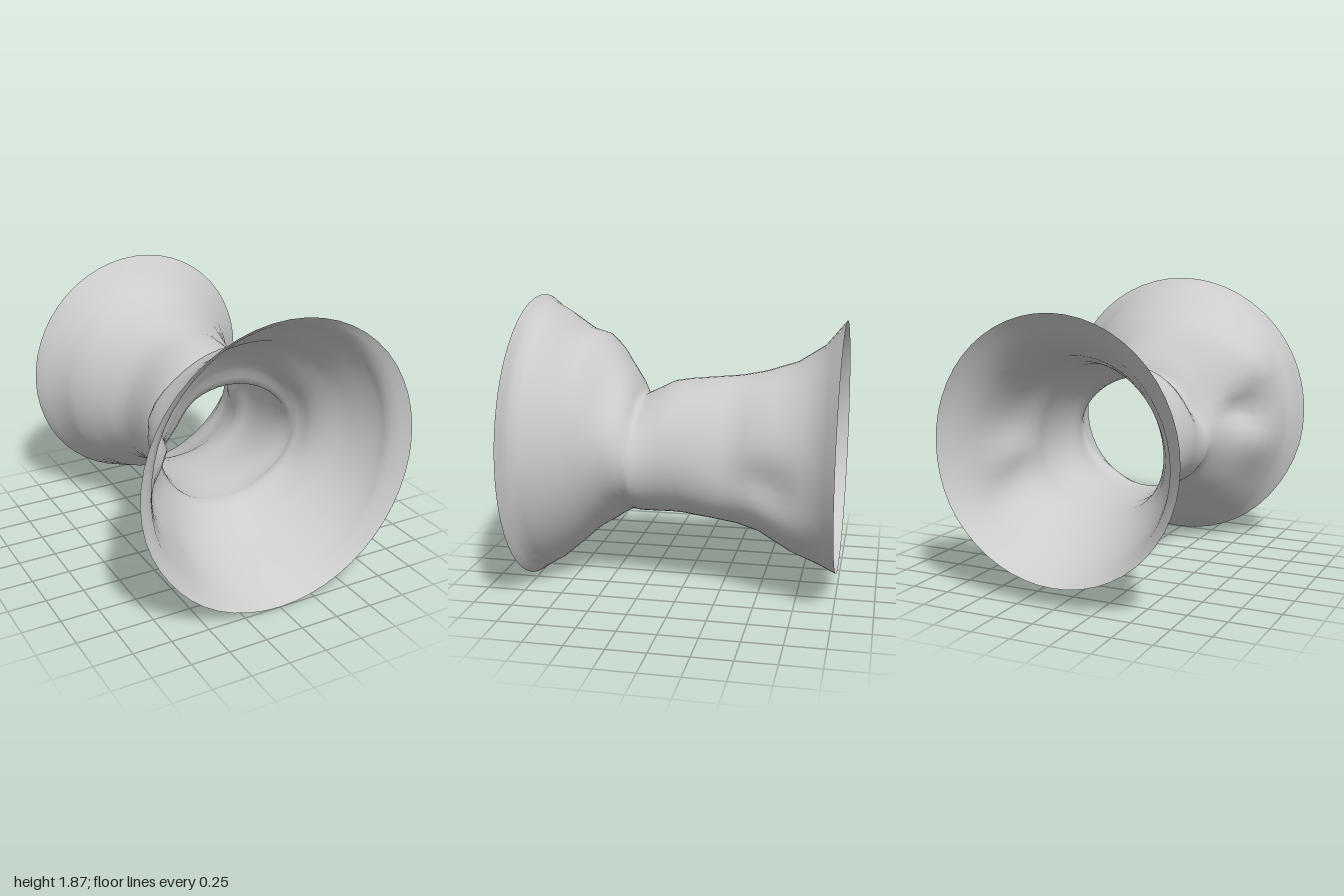
import * as THREE from 'three';

// Cross-sections along the tube: z, xMin, xMax, yMin, yMax
const SECTIONS = [
  [1, -0.93, 0.93, 0, 1.87],
  [0.95, -0.84, 0.81, 0.03, 1.83],
  [0.85, -0.8, 0.77, 0.09, 1.77],
  [0.7, -0.76, 0.67, 0.22, 1.65],
  [0.6, -0.71, 0.59, 0.31, 1.61],
  [0.5, -0.61, 0.53, 0.37, 1.53],
  [0.4, -0.52, 0.51, 0.44, 1.41],
  [0.35, -0.49, 0.49, 0.46, 1.34],
  [0.3, -0.47, 0.48, 0.46, 1.23],
  [0.2, -0.45, 0.46, 0.465, 1.28],
  [0.1, -0.45, 0.46, 0.47, 1.33],
  [0, -0.44, 0.465, 0.47, 1.35],
  [-0.2, -0.42, 0.485, 0.455, 1.375],
  [-0.35, -0.425, 0.485, 0.43, 1.39],
  [-0.5, -0.5, 0.55, 0.385, 1.42],
  [-0.7, -0.62, 0.61, 0.25, 1.48],
  [-0.87, -0.685, 0.67, 0.18, 1.59],
  [-1, -0.8, 0.8, 0.13, 1.75],
];

// Hollows (positive) and bulges (negative): angle, z, depth, angular width, length
const DENTS = [
  [3.05, 0.59, 0.22, 0.22, 0.14], // pocket in the front bell
  [2.62, 0.68, -0.08, 0.28, 0.18], // brow above the pocket
  [2.15, 0.57, -0.04, 0.45, 0.14], // shoulder above the brow
  [3.75, 0.72, 0.05, 0.28, 0.2], // fold below the pocket
  [0.8, 0.46, 0.07, 0.45, 0.12], // flatter shoulder opposite
  [2.6, 0.3, 0.12, 0.4, 0.13], // pinched throat, upper side
  [-0.95, 0.38, 0.05, 0.4, 0.13], // pinched throat, lower side
  [-0.05, -0.56, 0.11, 0.26, 0.17], // pocket in the rear bell
  [-0.5, -0.72, -0.04, 0.28, 0.2], // lip below the rear pocket
];
const SIDES = 52;

// Fraction by which the wall is pulled towards the axis
function dentAt(angle, z) {
  let sum = 0;
  for (const [a, dz, depth, width, length] of DENTS) {
    const da = Math.atan2(Math.sin(angle - a), Math.cos(angle - a));
    sum += depth * Math.exp(-((da / width) ** 2) - ((z - dz) / length) ** 2);
  }
  return sum;
}

// One ring; the neck is egg-shaped, widest below its middle
function ringPoints([z, x0, x1, y0, y1]) {
  const points = [];
  const halfHeight = (y1 - y0) / 2;
  const sag = 0.18 * Math.exp(-(((z + 0.25) / 0.38) ** 2));
  for (let i = 0; i < SIDES; i++) {
    const angle = Math.PI / 2 + (i / SIDES) * Math.PI * 2;
    const k = 1 - dentAt(angle, z);
    const c = Math.cos(angle), s = Math.sin(angle);
    points.push(
      (x0 + x1) / 2 + ((x1 - x0) / 2) * k * c,
      (y0 + y1) / 2 + halfHeight * (k * s - sag * c * c),
      z
    );
  }
  return points;
}

function loftTube() {
  // Put a halfway ring between neighbouring sections
  const rings = SECTIONS.flatMap((section, n) => {
    const next = SECTIONS[n + 1];
    return next ? [section, section.map((v, i) => (v + next[i]) / 2)] : [section];
  });
  const index = [];
  for (let row = 1; row < rings.length; row++) {
    for (let i = 0; i < SIDES; i++) {
      const j = (i + 1) % SIDES;
      const a = (row - 1) * SIDES + i, b = (row - 1) * SIDES + j;
      const c = row * SIDES + i, d = row * SIDES + j;
      index.push(a, c, b, b, c, d);
    }
  }
  const geometry = new THREE.BufferGeometry();
  geometry.setAttribute('position', new THREE.Float32BufferAttribute(rings.flatMap(ringPoints), 3));
  geometry.setIndex(index);
  geometry.computeVertexNormals();
  return geometry;
}

export function createModel() {
  const group = new THREE.Group();
  group.name = 'flaredTube';
  // Thin open wall, flared into a bell at both ends
  const wall = new THREE.Mesh(
    loftTube(),
    new THREE.MeshStandardMaterial({ color: 0xcccccc, side: THREE.DoubleSide })
  );
  wall.name = 'tubeWall';
  group.add(wall);
  return group;
}
